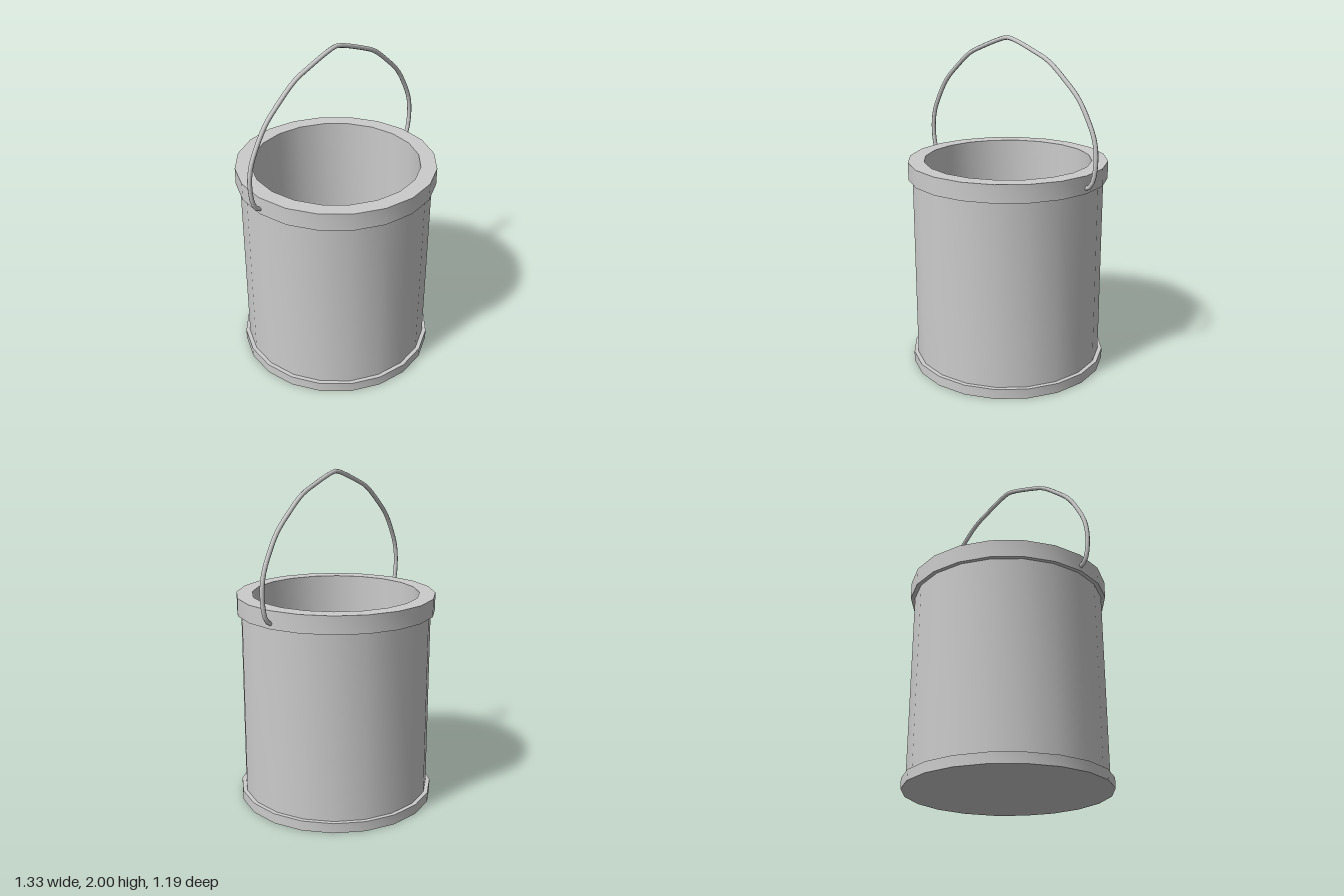
import * as THREE from 'three';
import { toCreasedNormals } from 'three/addons/utils/BufferGeometryUtils.js';

const SIDES = 20;
const R_BAND = 0.595, R_WALL = 0.57, R_IN = 0.5;
const Y_BASE = 0.06, Y_RIM = 1.17, Y_TOP = 1.275;

export function createModel() {
  const group = new THREE.Group();
  const material = new THREE.MeshStandardMaterial({ color: 0xcccccc });

  const add = (name, geometry) => {
    const mesh = new THREE.Mesh(geometry, material);
    mesh.name = name;
    group.add(mesh);
    return mesh;
  };
  // Ring-shaped part turned from [radius, height] pairs, smooth around, sharp at corners
  const turned = (name, profile) => add(name, toCreasedNormals(
    new THREE.LatheGeometry(profile.map(([r, y]) => new THREE.Vector2(r, y)), SIDES), 0.6));

  // Bucket: the four parts join into one closed shell
  turned('baseBand', [[0, 0], [R_BAND, 0], [R_BAND, Y_BASE], [R_WALL, Y_BASE]]);
  turned('outerWall', [[R_WALL, Y_BASE], [R_WALL, Y_RIM]]);
  turned('rim', [[R_WALL, Y_RIM], [R_BAND, Y_RIM], [R_BAND, Y_TOP], [R_IN, Y_TOP]]);
  turned('innerWallAndFloor', [[R_IN, Y_TOP], [R_IN, Y_BASE], [0, Y_BASE]]);

  // Wire handle: half the path, mirrored across x
  const half = [
    [0.58, 1.197], [0.605, 1.205], [0.635, 1.245], [0.653, 1.37], [0.638, 1.48],
    [0.588, 1.59], [0.52, 1.695], [0.425, 1.785], [0.31, 1.875], [0.2, 1.923], [0.05, 1.976],
  ];
  const path = [
    ...half.map(([x, y]) => new THREE.Vector3(-x, y, 0)),
    new THREE.Vector3(0, 1.986, 0),
    ...half.slice().reverse().map(([x, y]) => new THREE.Vector3(x, y, 0)),
  ];
  const wire = new THREE.CatmullRomCurve3(path, false, 'centripetal');
  add('handle', new THREE.TubeGeometry(wire, 64, 0.013, 8));

  return group;
}
